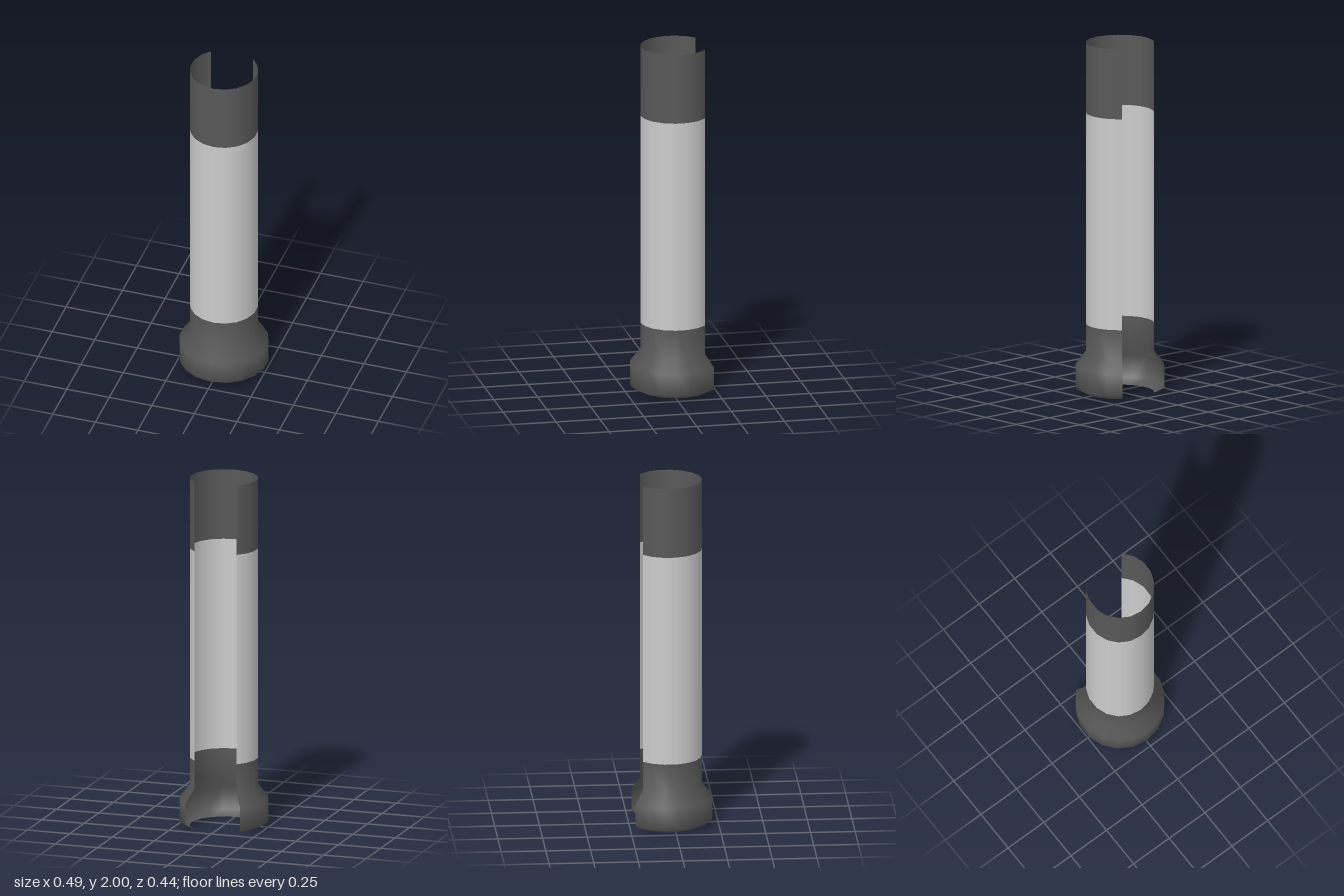
import * as THREE from 'three';

const STEP = Math.PI / 9; // 20 degrees per facet
const CENTRE_Z = -0.031;

export function createModel() {
  const dark = new THREE.MeshStandardMaterial({ color: 0x585858, side: THREE.DoubleSide });
  dark.name = 'darkGrey';
  const light = new THREE.MeshStandardMaterial({ color: 0xcccccc, side: THREE.DoubleSide });
  light.name = 'lightGrey';

  const model = new THREE.Group();
  model.name = 'openSleeve';

  // Thin shell swept 280 degrees, leaving a slot along the back
  const addShell = (name, material, profile) => {
    const points = profile.map(([r, y]) => new THREE.Vector2(r, y));
    const shell = new THREE.Mesh(new THREE.LatheGeometry(points, 14, -7 * STEP, 14 * STEP), material);
    shell.name = name;
    shell.position.z = CENTRE_Z;
    model.add(shell);
  };

  // Flared foot with its short dark neck
  addShell('flaredBase', dark, [[0.192, 0], [0.251, 0.03], [0.251, 0.155], [0.192, 0.232], [0.192, 0.394]]);
  // Pale middle of the tube
  addShell('tubeBody', light, [[0.192, 0.394], [0.192, 1.6]]);
  // Dark band at the top
  addShell('topBand', dark, [[0.192, 1.6], [0.192, 2]]);

  return model;
}
